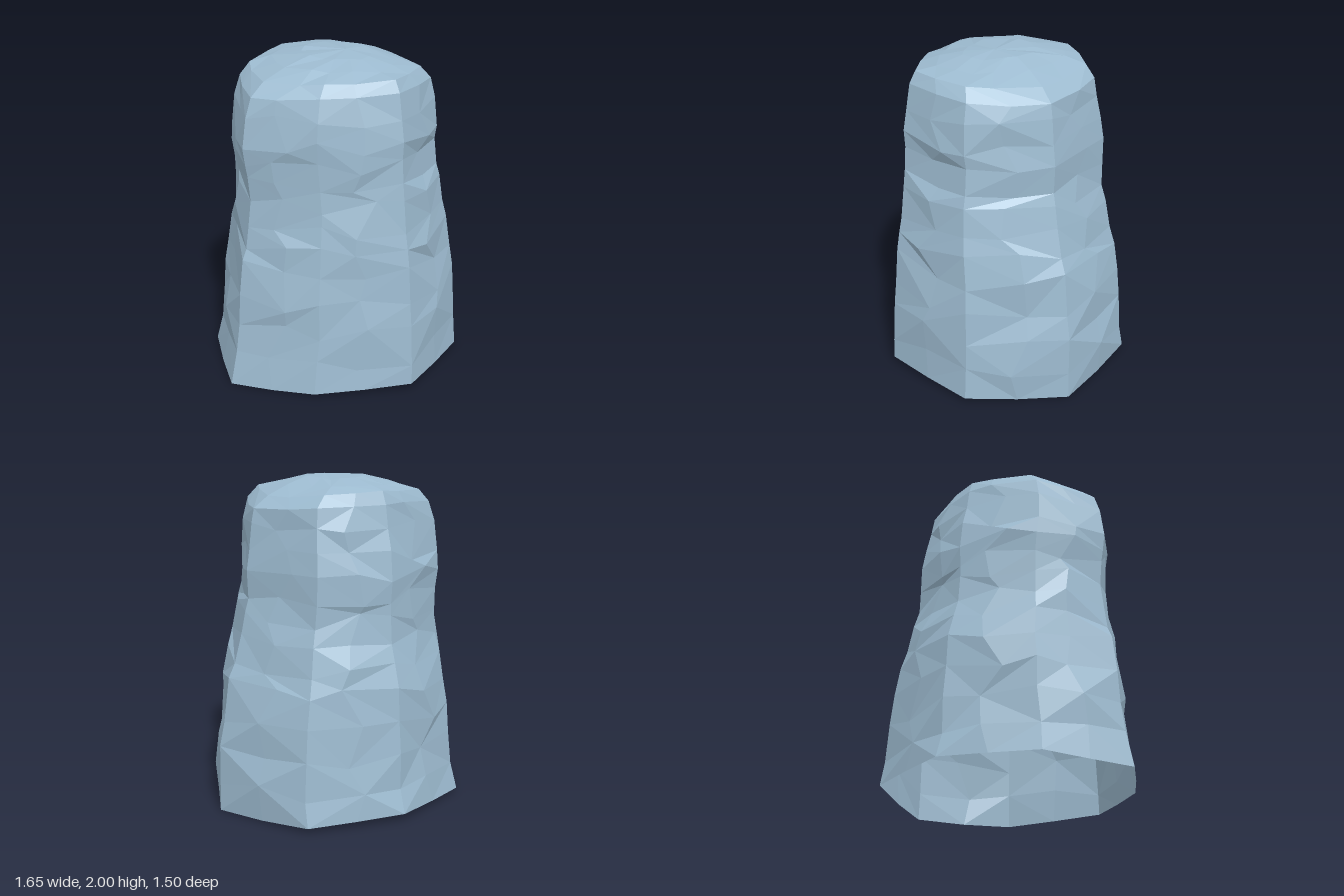
import * as THREE from 'three';

// Seeded random in -1..1
function seeded(seed) {
  let s = seed;
  return () => {
    s = (s * 16807) % 2147483647;
    return (s / 2147483647) * 2 - 1;
  };
}

// Eight-cornered plan of the rock, as fractions of its extents (x, z)
const PLAN = [
  [-1, -0.02], [-0.72, -0.69], [-0.05, -1], [0.66, -0.83],
  [1, -0.05], [0.69, 0.72], [-0.02, 1], [-0.63, 0.57],
];

// Extents at each height: y, left x, right x, back z, front z
const RINGS = [
  [0.0, 0.83, 0.825, 0.75, 0.75],
  [0.2, 0.79, 0.82, 0.71, 0.74],
  [0.4, 0.75, 0.81, 0.71, 0.73],
  [0.58, 0.735, 0.78, 0.69, 0.71],
  [0.78, 0.71, 0.75, 0.68, 0.69],
  [0.92, 0.69, 0.7, 0.64, 0.68],
  [1.05, 0.665, 0.66, 0.61, 0.66],
  [1.2, 0.645, 0.63, 0.59, 0.64],
  [1.32, 0.65, 0.615, 0.595, 0.62],
  [1.44, 0.67, 0.61, 0.6, 0.61],
  [1.56, 0.68, 0.6, 0.58, 0.615],
  [1.7, 0.655, 0.58, 0.55, 0.6],
  [1.82, 0.615, 0.56, 0.53, 0.575],
  [1.89, 0.53, 0.47, 0.5, 0.53],
  [1.95, 0.38, 0.33, 0.4, 0.4],
  [1.985, 0.2, 0.2, 0.22, 0.24],
];

function rockGeometry() {
  const rand = seeded(4217);
  const n = PLAN.length * 2;
  const rows = RINGS.map(([y, xl, xr, zb, zf], i) => {
    const row = [];
    const base = i === 0;
    const cap = i > 11;
    for (let j = 0; j < n; j++) {
      // Corners alternate with slightly bulged face centres
      const p = PLAN[j >> 1];
      const q = PLAN[((j + 1) >> 1) % PLAN.length];
      const corner = j % 2 === 0;
      const swell = corner ? 1 : base ? 1.01 : 1.03;
      const slide = corner || base ? 0.5 : 0.5 + rand() * 0.16;
      const u = (p[0] * (1 - slide) + q[0] * slide) * swell;
      const v = (p[1] * (1 - slide) + q[1] * slide) * swell;
      // Chipped surface: push in or out, and shift up or down
      const push = base ? 1 : 1 + rand() * (cap ? 0.012 : corner ? 0.012 : 0.035);
      const lift = base ? 0.045 * v * v : rand() * (cap ? 0.008 : 0.045);
      // Rim sits higher at front and back than at the sides
      const rim = i === 12 || i === 13 ? 0.04 * v * v : 0;
      row.push(new THREE.Vector3(
        u * (u < 0 ? xl : xr) * push, y + lift + rim, v * (v < 0 ? zb : zf) * push));
    }
    return row;
  });

  const pos = [];
  const tri = (...pts) => pts.forEach((p) => pos.push(p.x, p.y, p.z));
  for (let i = 0; i < rows.length - 1; i++) {
    for (let j = 0; j < n; j++) {
      const k = (j + 1) % n;
      const a = rows[i][j], b = rows[i][k], c = rows[i + 1][j], d = rows[i + 1][k];
      // Irregular diagonals
      if (rand() > 0) { tri(a, c, b); tri(b, c, d); }
      else { tri(a, d, b); tri(a, c, d); }
    }
  }
  // Crown
  const last = rows[rows.length - 1];
  const peak = new THREE.Vector3(0.04, 2, 0.05);
  for (let j = 0; j < n; j++) tri(last[j], peak, last[(j + 1) % n]);

  const geo = new THREE.BufferGeometry();
  geo.setAttribute('position', new THREE.Float32BufferAttribute(pos, 3));
  geo.computeVertexNormals();
  return geo;
}

export function createModel() {
  const group = new THREE.Group();
  group.name = 'rockPillar';
  // Shell is open underneath
  const stone = new THREE.MeshStandardMaterial({
    color: 0x9dbbd0, flatShading: true, side: THREE.DoubleSide,
  });
  stone.name = 'blueGreyStone';
  const rock = new THREE.Mesh(rockGeometry(), stone);
  rock.name = 'rock';
  group.add(rock);
  return group;
}
